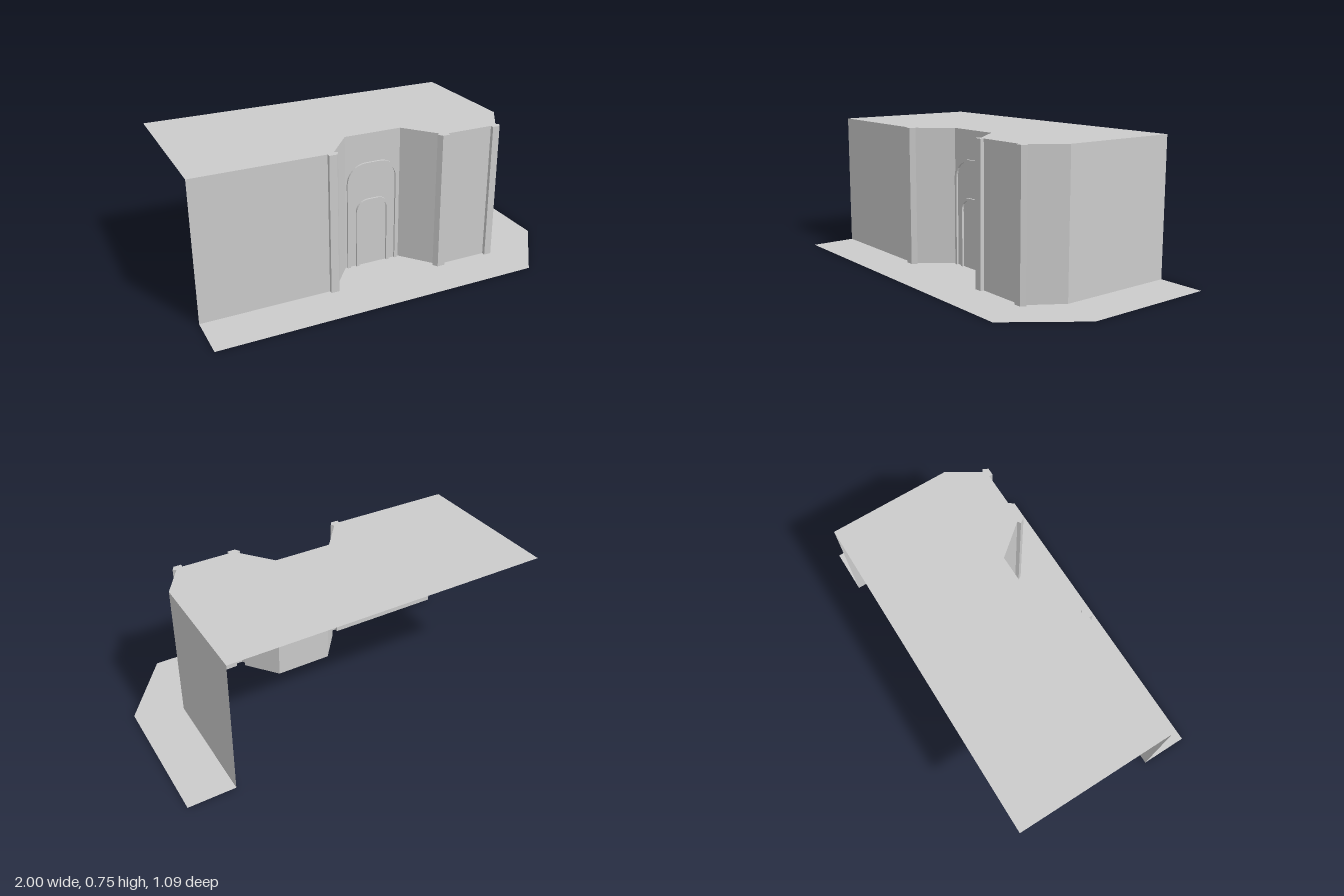
import * as THREE from 'three';

const H = 0.745, BACK = -0.545, RECESS = 0.107;

// Wall line in plan (x, z), running along the front and round the right side
const wallLine = [
  [-1, 0.29], [-0.32, 0.29], [-0.32, 0.31], [-0.278, 0.31], [-0.263, 0.284], [-0.278, 0.272],
  [-0.145, RECESS], [0.17, RECESS],
  [0.305, 0.272], [0.288, 0.284], [0.305, 0.31], [0.347, 0.31], [0.347, 0.29],
  [0.605, 0.29], [0.605, 0.31], [0.645, 0.31], [0.66, 0.284], [0.645, 0.272],
  [0.75, RECESS], [0.75, BACK],
];

const material = new THREE.MeshStandardMaterial({
  color: 0xcccccc, flatShading: true, side: THREE.DoubleSide,
});

function addMesh(group, name, geometry) {
  const mesh = new THREE.Mesh(geometry, material);
  mesh.name = name;
  group.add(mesh);
  return mesh;
}

// Horizontal sheet, facing up, from a plan outline
function sheet(points, y) {
  const shape = new THREE.Shape(points.map(([x, z]) => new THREE.Vector2(x, -z)));
  return new THREE.ShapeGeometry(shape).rotateX(-Math.PI / 2).translate(0, y, 0);
}

// Upright strip following a plan line
function wallStrip(points, height) {
  const pos = [];
  for (let i = 0; i < points.length - 1; i++) {
    const [x0, z0] = points[i], [x1, z1] = points[i + 1];
    pos.push(x0, 0, z0, x1, 0, z1, x1, height, z1);
    pos.push(x0, 0, z0, x1, height, z1, x0, height, z0);
  }
  const g = new THREE.BufferGeometry();
  g.setAttribute('position', new THREE.Float32BufferAttribute(pos, 3));
  g.computeVertexNormals();
  return g;
}

// Round-cornered arch line from left foot to right foot
function archPoints(halfWidth, top, r) {
  const pts = [[-halfWidth, 0]];
  const steps = 8;
  for (const side of [-1, 1]) {
    for (let i = 0; i <= steps; i++) {
      const t = (i / steps) * Math.PI / 2;
      const a = side < 0 ? Math.PI - t : Math.PI / 2 - t;
      pts.push([side * (halfWidth - r) + r * Math.cos(a), top - r + r * Math.sin(a)]);
    }
  }
  pts.push([halfWidth, 0]);
  return pts;
}

// Raised arch moulding with open feet
function archFrame(halfWidth, top, r, band, depth) {
  const outer = archPoints(halfWidth, top, r);
  const inner = archPoints(halfWidth - band, top - band, r - band).reverse();
  const shape = new THREE.Shape([...outer, ...inner].map(([x, y]) => new THREE.Vector2(x, y)));
  return new THREE.ExtrudeGeometry(shape, { depth, bevelEnabled: false });
}

export function createModel() {
  const model = new THREE.Group();
  model.name = 'buildingCorner';

  // Open-backed shell
  addMesh(model, 'walls', wallStrip(wallLine, H));
  addMesh(model, 'roof', sheet([...wallLine, [-1, BACK]], H));

  // Pavement around the foot of the walls, with a cut corner
  addMesh(model, 'pavement', sheet(
    [...wallLine, [1, BACK], [1, 0.18], [0.735, 0.54], [-1, 0.54]], 0));

  // Arch mouldings on the recessed entrance wall
  const entrance = new THREE.Group();
  entrance.name = 'entrance';
  entrance.position.set(0.011, 0, RECESS);
  addMesh(entrance, 'outerArch', archFrame(0.147, 0.588, 0.105, 0.015, 0.011));
  addMesh(entrance, 'doorFrame', archFrame(0.096, 0.383, 0.068, 0.015, 0.011));
  model.add(entrance);

  return model;
}
